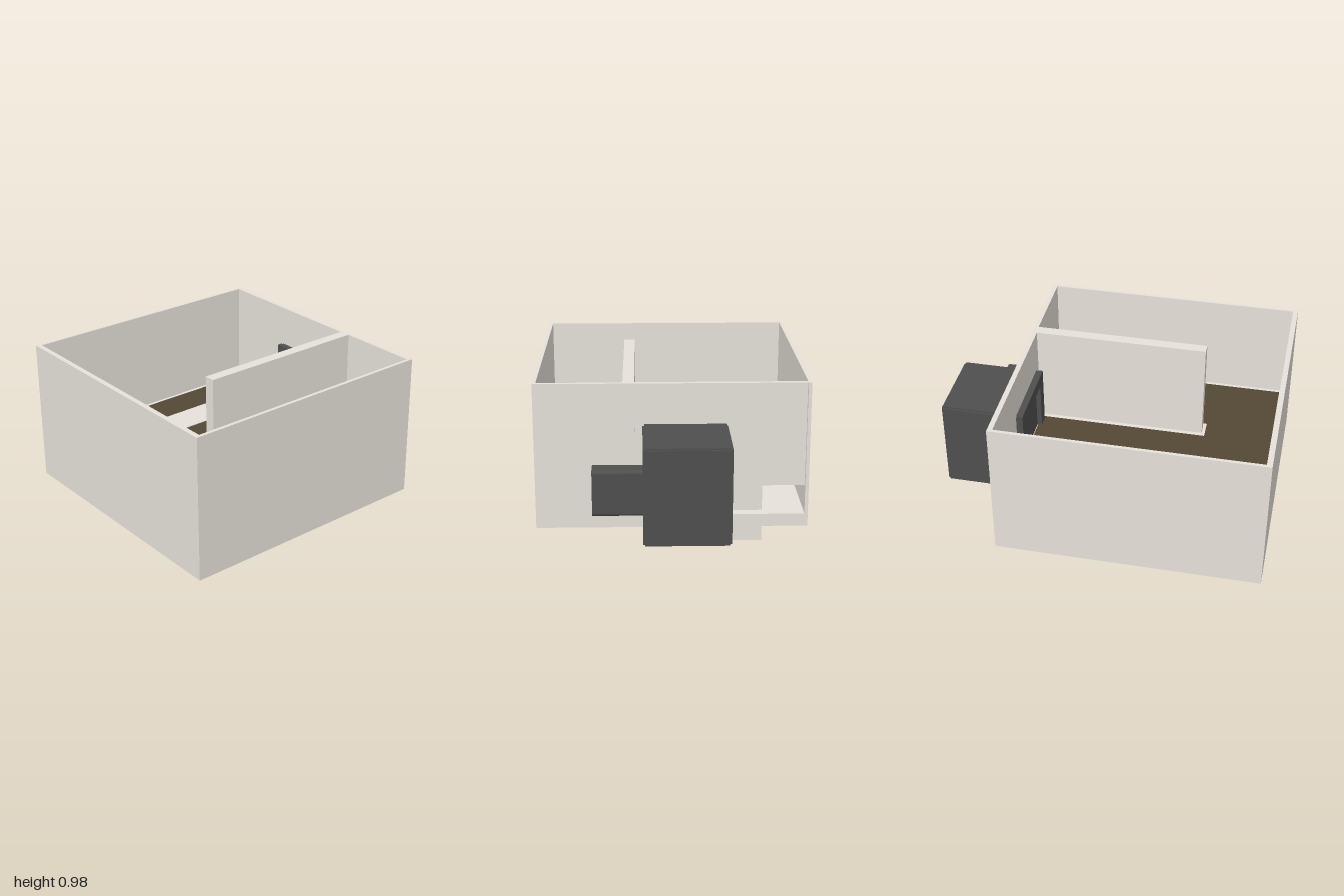
import * as THREE from 'three';

export function createModel() {
  const model = new THREE.Group();
  const cream = new THREE.MeshStandardMaterial({ color: 0xe6e2da });
  cream.name = 'cream wall';
  const dark = new THREE.MeshStandardMaterial({ color: 0x4f4f4f });
  dark.name = 'dark casing';
  const brown = new THREE.MeshStandardMaterial({ color: 0x544834 });
  brown.name = 'brown floor';

  const add = (name, geometry, material, parent = model) => {
    const mesh = new THREE.Mesh(geometry, material);
    mesh.name = name;
    parent.add(mesh);
    return mesh;
  };
  // Box given by its two corners
  const box = (name, [x0, y0, z0], [x1, y1, z1], material, parent) => {
    const g = new THREE.BoxGeometry(x1 - x0, y1 - y0, z1 - z0);
    g.translate((x0 + x1) / 2, (y0 + y1) / 2, (z0 + z1) / 2);
    return add(name, g, material, parent);
  };
  const polygon = (points) => new THREE.Shape(points.map(([x, y]) => new THREE.Vector2(x, y)));
  const rect = (x0, y0, x1, y1) => [[x0, y0], [x1, y0], [x1, y1], [x0, y1]];

  // Open-topped enclosure
  const shell = new THREE.Group();
  shell.name = 'enclosure';
  model.add(shell);
  const low = 0.19, top = 0.975, floorY = 0.36;
  box('base', [-1, 0.115, -0.785], [0.57, low, 0.785], cream, shell);
  box('frontWall', [-1, low, 0.765], [0.57, top, 0.785], cream, shell);
  box('backWall', [-1, low, -0.785], [0.57, top, -0.765], cream, shell);
  box('rightWall', [-1, low, -0.765], [-0.97, top, 0.765], cream, shell);
  box('leftWall', [0.545, low, 0.215], [0.57, top, 0.765], cream, shell);
  box('divider', [-0.5, low, 0.215], [0.545, top, 0.28], cream, shell);

  // Recessed panel behind the side unit, with a low slot left open under it
  box('recessedPanel', [0.54, floorY, -0.765], [0.546, top, 0.215], cream, shell);
  box('recessRim', [0.545, top - 0.003, -0.765], [0.57, top, 0.215], cream, shell);

  // Raised floor with a brown covering, notched around the divider
  box('floor', [-0.97, floorY - 0.004, -0.765], [0.545, floorY, 0.765], cream, shell);
  const covering = new THREE.ShapeGeometry(polygon([
    [-0.935, -0.74], [0.525, -0.74], [0.525, -0.31], [-0.52, -0.31],
    [-0.52, -0.185], [0.525, -0.185], [0.525, 0.74], [-0.935, 0.74],
  ]));
  covering.rotateX(-Math.PI / 2).translate(0, floorY + 0.003, 0);
  add('floorCovering', covering, brown, shell);

  // Long block that passes through the base
  box('lowerBlock', [-0.42, 0, -0.525], [0.505, 0.367, -0.325], cream);

  // Side unit: three crossed boxes give its small stepped edges
  const unit = new THREE.Group();
  unit.name = 'sideUnit';
  model.add(unit);
  const s = 0.01;
  box('casingEnd', [0.53, 0.17 + s, -0.318 + s], [1, 0.73 - s, 0.17 - s], dark, unit);
  box('casingHeight', [0.53, 0.17, -0.318 + s], [1 - s, 0.73, 0.17 - s], dark, unit);
  box('casingDepth', [0.53, 0.17 + s, -0.318], [1 - s, 0.73 - s, 0.17], dark, unit);

  // Inner frame around a recessed face
  const frameShape = polygon(rect(-0.165, 0.175, 0.318, 0.73));
  frameShape.holes.push(polygon(rect(-0.095, 0.245, 0.248, 0.66)));
  const frame = new THREE.ExtrudeGeometry(frameShape, { depth: 0.03, bevelEnabled: false });
  frame.rotateY(Math.PI / 2).translate(0.5, 0, 0);
  add('innerFrame', frame, dark, unit);

  // Front outlet with rounded corners
  const x0 = 0.69, x1 = 0.813, y0 = 0.275, y1 = 0.543, r = 0.02;
  const outletShape = new THREE.Shape();
  outletShape.absarc(x1 - r, y0 + r, r, -Math.PI / 2, 0);
  outletShape.absarc(x1 - r, y1 - r, r, 0, Math.PI / 2);
  outletShape.absarc(x0 + r, y1 - r, r, Math.PI / 2, Math.PI);
  outletShape.absarc(x0 + r, y0 + r, r, Math.PI, Math.PI * 1.5);
  const outlet = new THREE.ExtrudeGeometry(outletShape, { depth: 0.292, bevelEnabled: false, curveSegments: 5 });
  outlet.translate(0, 0, 0.16);
  add('outlet', outlet, dark, unit);

  return model;
}
